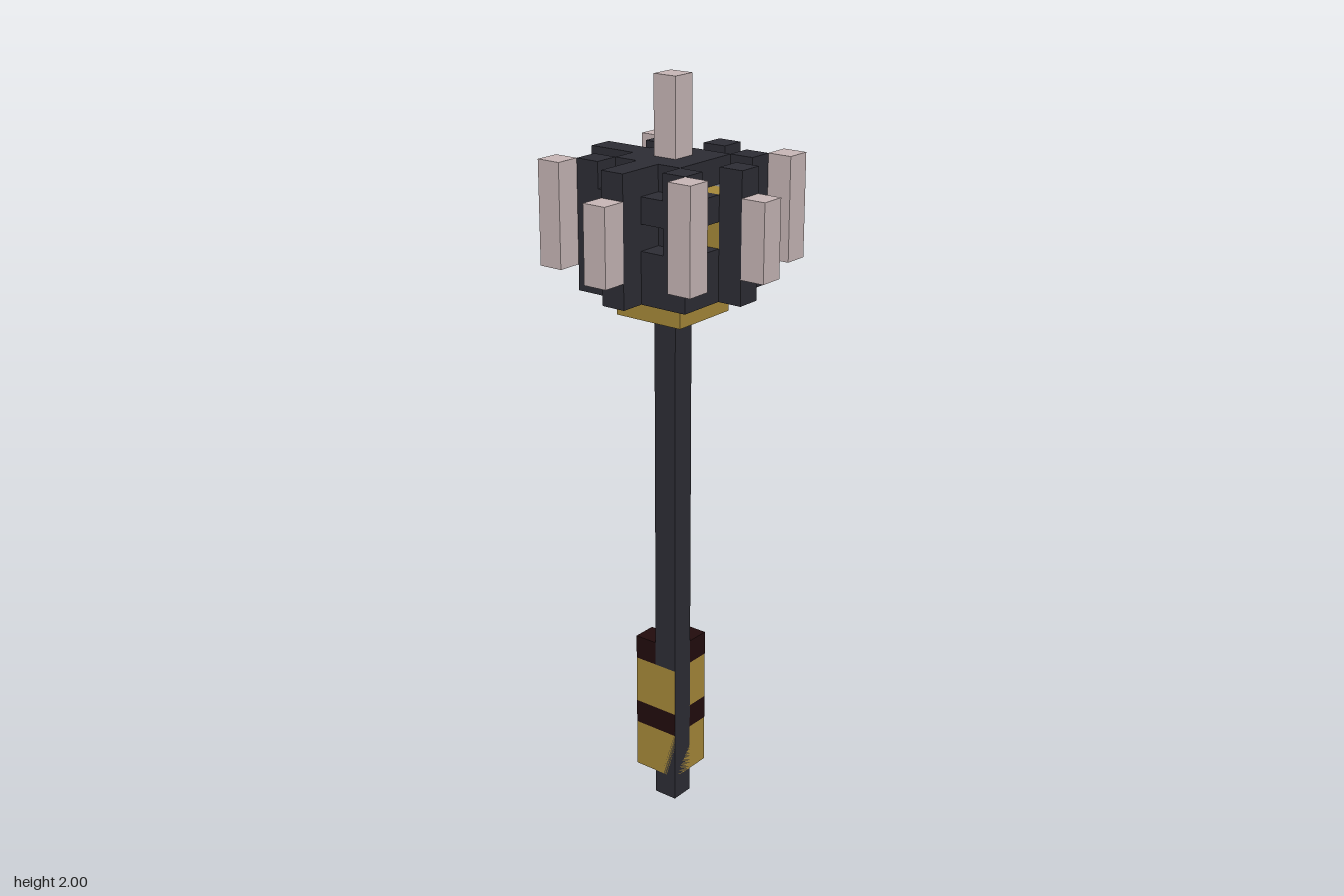
import * as THREE from 'three';

const U = 1 / 15; // one block

export function createModel() {
  const model = new THREE.Group();
  model.name = 'mace';

  const mat = (name, color) => {
    const m = new THREE.MeshStandardMaterial({ color });
    m.name = name;
    return m;
  };
  const iron = mat('dark iron', 0x2d2d35);
  const gold = mat('gold', 0xa88a3a);
  const bone = mat('pale bone', 0xc9b8b8);
  const steel = mat('grey steel', 0x7c7f86);
  const leather = mat('dark leather', 0x220c0d);

  // Box between two corners, given in blocks
  const block = (name, material, [x0, y0, z0], [x1, y1, z1]) => {
    const geo = new THREE.BoxGeometry((x1 - x0) * U, (y1 - y0) * U, (z1 - z0) * U);
    const mesh = new THREE.Mesh(geo, material);
    mesh.position.set((x0 + x1) / 2 * U, (y0 + y1) / 2 * U, (z0 + z1) / 2 * U);
    mesh.name = name;
    model.add(mesh);
  };
  // Upright column of one block in plan
  const column = (name, material, x, z, y0, y1) =>
    block(name, material, [x, y0, z], [x + 1, y1, z + 1]);

  // Shaft and grip
  column('shaft', iron, -1, 0, 0, 21);
  block('lowerGrip', gold, [-1, 1, -1], [1, 3, 1]);
  block('gripBand', leather, [-1, 3, -1], [1, 4, 1]);
  block('upperGrip', gold, [-1, 4, -1], [1, 6, 1]);
  column('gripKnot', leather, 0, 0, 6, 7);
  column('gripKnot', leather, -1, -1, 6, 7);

  // Collar and head core
  block('collar', gold, [-2, 21, -1], [1, 22, 2]);
  block('headCore', iron, [-2, 22, -1], [1, 27, 2]);

  // Corner pillars, with a spike standing off each one
  for (const [sx, x, px] of [[-4, -3, -3], [2, 1, 1]]) {
    for (const [sz, z] of [[-3, -2], [3, 2]]) {
      column('cornerPillar', iron, px, z, 22, 27);
      column('cornerSpike', bone, sx, sz, 23, 27);
    }
  }

  // Flange arms on the four sides
  column('rightArmRoot', iron, -3, 0, 22, 27);
  column('rightArm', iron, -4, 0, 22, 27);
  column('backArmRoot', iron, -1, -2, 22, 27);
  column('backArm', iron, -1, -3, 22, 27);
  column('leftArm', iron, 2, 0, 22, 27);
  column('frontArm', iron, -1, 3, 22, 27);
  for (const [x, z] of [[1, 0], [-1, 2]]) {
    column('armFoot', iron, x, z, 22, 23);
    column('armInlay', gold, x, z, 23, 26);
  }

  // Panels between pillars and arms: low sill and an upper stud
  const studs = [
    [-2, 2, iron], [0, 2, steel], [-2, -2, iron], [0, -2, steel],
    [1, -1, gold], [1, 1, gold], [-3, -1, iron], [-3, 1, iron],
  ];
  for (const [x, z, material] of studs) {
    column('sill', iron, x, z, 22, 24);
    column('stud', material, x, z, 25, 26);
  }

  // Main spikes
  column('topSpike', bone, -1, 0, 27, 30);
  block('leftSpike', bone, [3, 23, 0], [5, 26, 1]);
  block('rightSpike', bone, [-5, 23, 0], [-4, 26, 1]);
  block('frontSpike', bone, [-1, 23, 4], [0, 26, 5]);
  block('backSpike', bone, [-1, 23, -5], [0, 26, -3]);

  return model;
}
